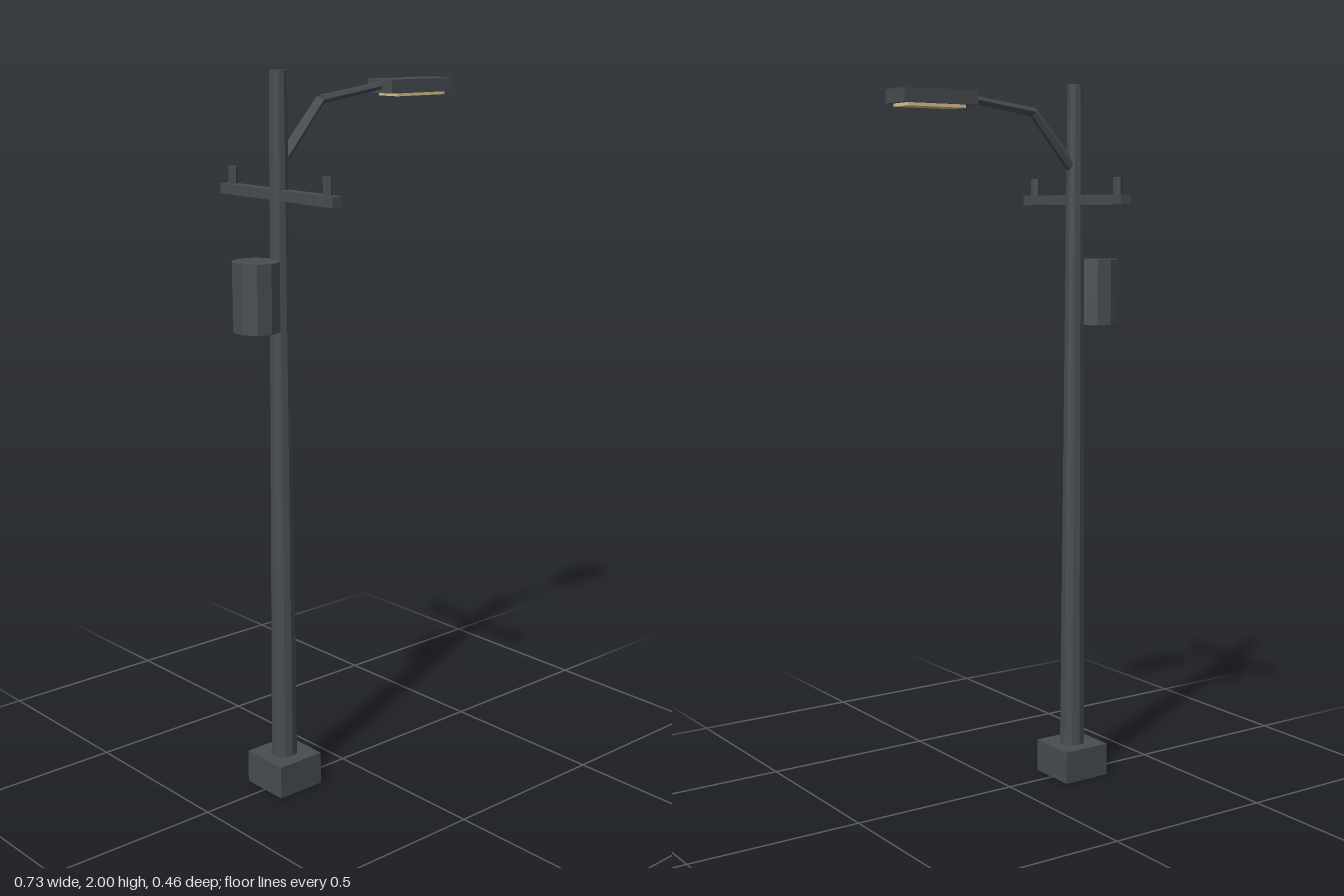
import * as THREE from 'three';

const POLE_X = -0.223;

export function createModel() {
  const model = new THREE.Group();
  model.name = 'streetLampPole';

  const metal = new THREE.MeshStandardMaterial({ color: 0x464c50, flatShading: true });
  metal.name = 'dark metal';
  const glow = new THREE.MeshStandardMaterial({ color: 0xd8c48c, flatShading: true });
  glow.name = 'warm lens';

  const add = (name, geometry, x, y, z, material = metal) => {
    const mesh = new THREE.Mesh(geometry, material);
    mesh.name = name;
    mesh.position.set(x, y, z);
    model.add(mesh);
    return mesh;
  };

  // Tapered tube between two points
  const addRod = (name, from, to, r0, r1, sides) => {
    const dir = to.clone().sub(from);
    const mid = from.clone().add(to).multiplyScalar(0.5);
    const rod = add(name, new THREE.CylinderGeometry(r1, r0, dir.length(), sides), mid.x, mid.y, mid.z);
    rod.quaternion.setFromUnitVectors(new THREE.Vector3(0, 1, 0), dir.normalize());
  };

  // Footing and tapered pole
  add('footing', new THREE.BoxGeometry(0.147, 0.094, 0.147), POLE_X, 0.047, 0);
  add('pole', new THREE.CylinderGeometry(0.024, 0.037, 1.91, 10), POLE_X, 1.045, 0);

  // Transformer drum on the side of the pole
  add('transformer', new THREE.CylinderGeometry(0.065, 0.065, 0.186, 10), -0.304, 1.421, 0);

  // Crossarm with an insulator near each end
  add('crossarm', new THREE.BoxGeometry(0.033, 0.028, 0.46), POLE_X, 1.681, 0);
  for (const side of [1, -1]) {
    add('insulator', new THREE.CylinderGeometry(0.013, 0.013, 0.05, 6), POLE_X, 1.717, side * 0.194);
  }

  // Bent lamp arm
  const root = new THREE.Vector3(POLE_X, 1.757, 0);
  const bend = new THREE.Vector3(-0.078, 1.92, 0);
  const tip = new THREE.Vector3(0.15, 1.951, 0);
  addRod('lowerArm', root, bend, 0.016, 0.0135, 6);
  addRod('upperArm', bend, tip, 0.0135, 0.011, 6);

  // Lamp head with its lens underneath
  add('lampHead', new THREE.BoxGeometry(0.228, 0.037, 0.096), 0.249, 1.948, 0);
  add('lampLens', new THREE.BoxGeometry(0.18, 0.009, 0.074), 0.256, 1.9255, 0, glow);

  return model;
}
